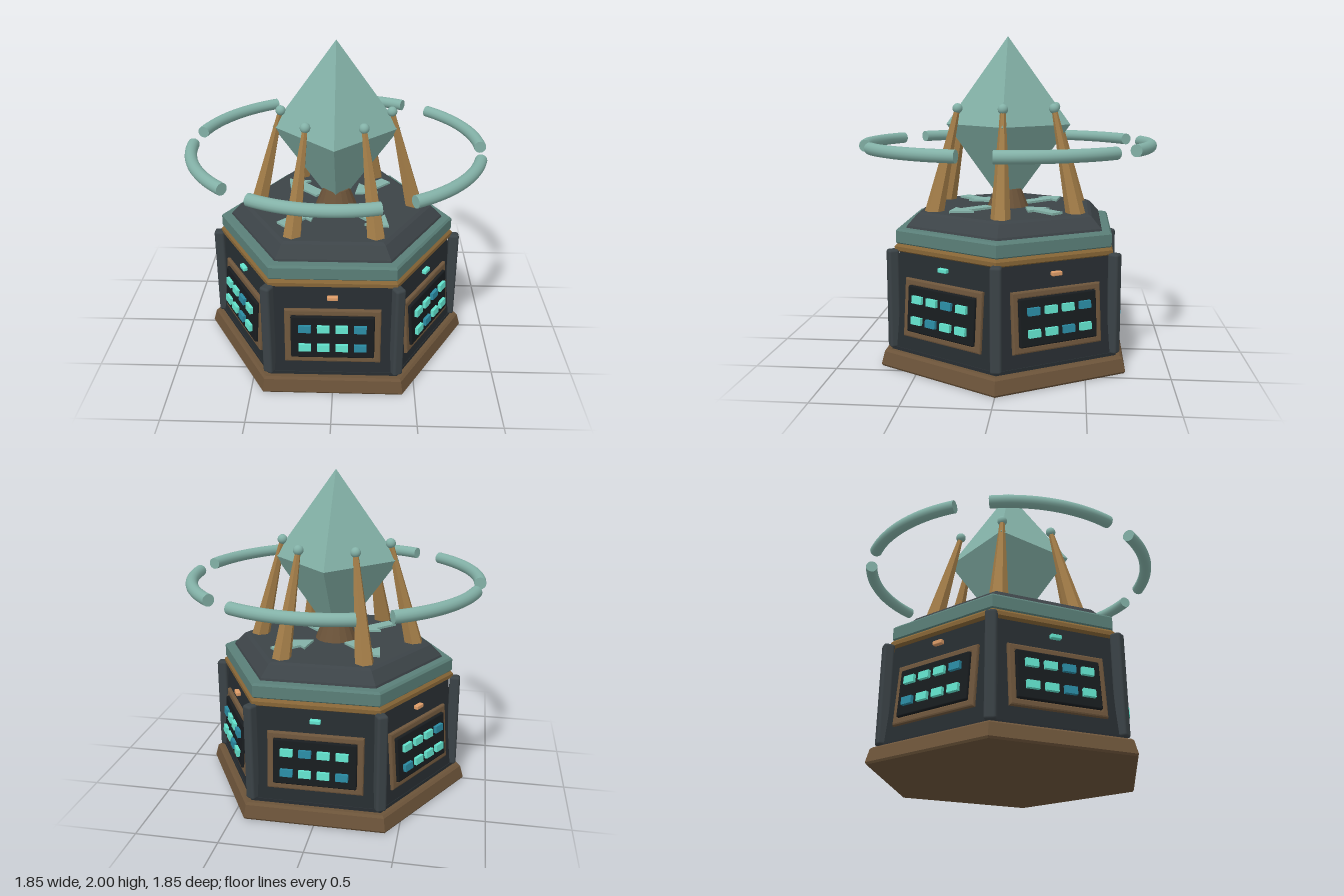
import * as THREE from 'three';
import { RoundedBoxGeometry } from 'three/addons/geometries/RoundedBoxGeometry.js';

const mat = (color, flatShading = false) => new THREE.MeshStandardMaterial({ color, flatShading });
const M = {
  wood: mat(0x6b5339, true), frame: mat(0x6e563c), gold: mat(0x866536, true), claw: mat(0xa37d48, true),
  dark: mat(0x272d31, true), deck: mat(0x3c4347, true), post: mat(0x3a4246), screen: mat(0x181c1f),
  teal: mat(0x5a7f78, true), crystal: mat(0x83b1a7, true), pale: mat(0x83b1a7),
  cyan: mat(0x62e3cd), blue: mat(0x2a8ba3), orange: mat(0xdd9c68),
};

function add(parent, name, geometry, material, x = 0, y = 0, z = 0) {
  const mesh = new THREE.Mesh(geometry, material);
  mesh.name = name;
  mesh.position.set(x, y, z);
  parent.add(mesh);
  return mesh;
}

function group(parent, name) {
  const g = new THREE.Group();
  g.name = name;
  parent.add(g);
  return g;
}

// Closed hexagonal solid with corners on the x axis, from [radius, y] pairs going up
function hexSolid(profile) {
  const pts = [[0, profile[0][1]], ...profile, [0, profile[profile.length - 1][1]]];
  return new THREE.LatheGeometry(pts.map(p => new THREE.Vector2(...p)), 6, Math.PI / 2);
}

function rectPath(path, w, h) {
  path.moveTo(-w, -h);
  path.lineTo(w, -h);
  path.lineTo(w, h);
  path.lineTo(-w, h);
  path.closePath();
  return path;
}

// Flat arrow along +x, lying on the deck
function arrowGeometry(tail, neck, tip) {
  const s = new THREE.Shape([[tail, -0.04], [neck, -0.04], [neck, -0.09], [tip, 0], [neck, 0.09], [neck, 0.04], [tail, 0.04]]
    .map(p => new THREE.Vector2(...p)));
  const g = new THREE.ExtrudeGeometry(s, { depth: 0.02, bevelEnabled: false });
  return g.rotateX(-Math.PI / 2);
}

export function createModel() {
  const model = new THREE.Group();
  model.name = 'crystalConsole';

  // Stacked hexagonal housing
  add(model, 'base', hexSolid([[0.845, 0], [0.853, 0.012], [0.832, 0.088], [0.815, 0.1]]), M.wood);
  add(model, 'foot', hexSolid([[0.785, 0.1], [0.785, 0.12], [0.77, 0.125]]), M.dark);
  add(model, 'body', hexSolid([[0.782, 0.12], [0.725, 0.72]]), M.dark);
  add(model, 'trimBand', hexSolid([[0.735, 0.705], [0.755, 0.715], [0.755, 0.738], [0.735, 0.757]]), M.gold);
  add(model, 'collar', hexSolid([[0.735, 0.752], [0.746, 0.762], [0.746, 0.832], [0.733, 0.845]]), M.teal);
  add(model, 'deck', hexSolid([[0.682, 0.84], [0.675, 0.858], [0.61, 0.924], [0.585, 0.936]]), M.deck);

  // Control panels, one on each side; set bits are bright keys
  const frameShape = rectPath(new THREE.Shape(), 0.278, 0.168);
  frameShape.holes.push(rectPath(new THREE.Path(), 0.256, 0.146));
  const frameGeo = new THREE.ExtrudeGeometry(frameShape,
    { depth: 0.022, bevelThickness: 0.01, bevelSize: 0.01, bevelSegments: 2 });
  const screenGeo = new RoundedBoxGeometry(0.5, 0.28, 0.05, 2, 0.01);
  const keyGeo = new THREE.BoxGeometry(0.074, 0.044, 0.025);
  const tagGeo = new RoundedBoxGeometry(0.065, 0.026, 0.03, 2, 0.006);
  const keyBits = [0b01110110, 0b11011011, 0b10110110, 0b01101101, 0b11100111, 0b10111011];
  for (let k = 0; k < 6; k++) {
    const side = group(model, 'side');
    side.rotation.y = k * Math.PI / 3;
    const panel = group(side, 'controlPanel');
    panel.position.set(0, 0.38, 0.655);
    panel.rotation.x = -0.08;
    add(panel, 'panelFrame', frameGeo, M.frame, 0, 0, -0.01);
    add(panel, 'screen', screenGeo, M.screen, 0, 0, 0.012);
    for (let i = 0; i < 8; i++) {
      const bright = (keyBits[k] >> i) & 1;
      add(panel, 'key', keyGeo, bright ? M.cyan : M.blue,
        -0.165 + 0.11 * (i % 4), i < 4 ? 0.064 : -0.062, 0.045);
    }
    add(side, 'indicator', tagGeo, k % 2 ? M.cyan : M.orange, 0, 0.64, 0.655);
  }

  // Six-fold parts on the corners
  const postGeo = new RoundedBoxGeometry(0.066, 0.61, 0.066, 3, 0.016);
  const foot = new THREE.Vector3(0.5, 0.92, 0), tip = new THREE.Vector3(0.34, 1.56, 0);
  const axis = tip.clone().sub(foot);
  const clawGeo = new THREE.CylinderGeometry(0.016, 0.06, axis.length(), 6);
  const ballGeo = new THREE.SphereGeometry(0.031, 20, 14);
  for (let k = 0; k < 6; k++) {
    const corner = group(model, 'corner');
    corner.rotation.y = k * Math.PI / 3;
    add(corner, 'cornerPost', postGeo, M.post, 0.768, 0.417, 0);
    const claw = add(corner, 'claw', clawGeo, M.claw);
    claw.position.copy(foot).add(tip).multiplyScalar(0.5);
    claw.quaternion.setFromUnitVectors(new THREE.Vector3(0, 1, 0), axis.clone().normalize());
    add(corner, 'clawBall', ballGeo, M.pale, tip.x, tip.y, 0);
  }

  // Broken floating ring
  const arc = THREE.MathUtils.degToRad(47);
  const arcGeo = new THREE.TorusGeometry(0.89, 0.037, 16, 24, arc).rotateX(Math.PI / 2);
  const capGeo = new THREE.CircleGeometry(0.037, 16);
  for (let k = 0; k < 6; k++) {
    const segment = group(model, 'ringSegment');
    segment.position.y = 1.333;
    segment.rotation.y = -THREE.MathUtils.degToRad(13 + 60 * k);
    add(segment, 'ringArc', arcGeo, M.pale);
    add(segment, 'ringCap', capGeo, M.pale, 0.89, 0, 0).rotation.y = Math.PI;
    add(segment, 'ringCap', capGeo, M.pale, 0.89 * Math.cos(arc), 0, 0.89 * Math.sin(arc)).rotation.y = -arc;
  }

  // Deck arrows, alternately pointing out and in
  const outward = arrowGeometry(0.15, 0.345, 0.465);
  const inward = arrowGeometry(0.46, 0.295, 0.17);
  // Mirrored outline is re-wound by the extruder, so both face up
  for (let k = 0; k < 4; k++) {
    add(model, 'deckArrow', k % 2 ? inward : outward, M.pale, 0, 0.93, 0).rotation.y = Math.PI / 4 * (2 * k - 1);
  }

  // Crystal on its socket
  add(model, 'socket', new THREE.CylinderGeometry(0.085, 0.133, 0.12, 16), M.wood, 0, 0.99, 0);
  const crystal = add(model, 'crystal', new THREE.OctahedronGeometry(1), M.crystal, 0, 1.455, 0);
  crystal.scale.set(0.393, 0.545, 0.393);

  return model;
}
